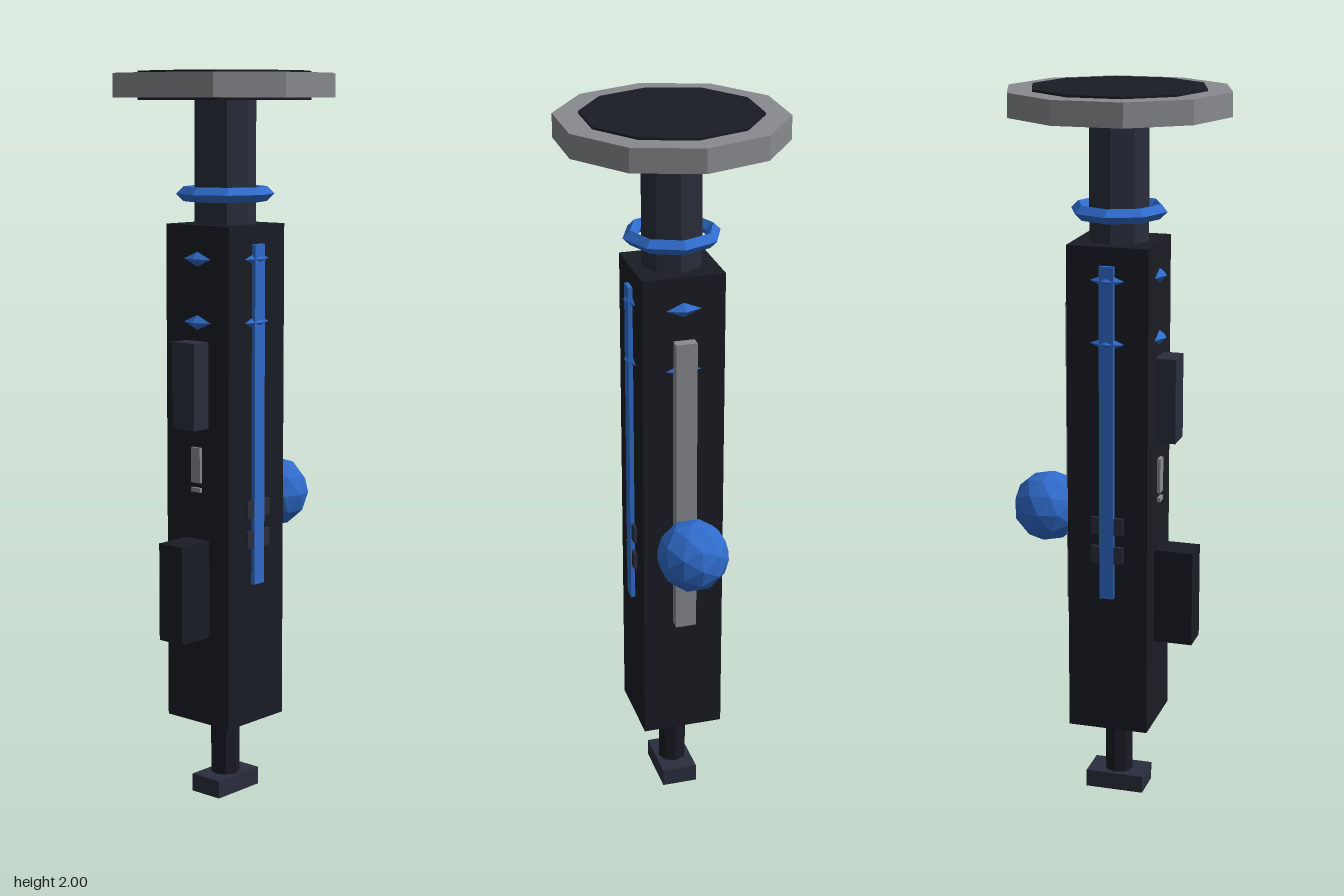
import * as THREE from 'three';

const mat = (color) => new THREE.MeshStandardMaterial({ color, flatShading: true });

export function createModel() {
  const group = new THREE.Group();
  const dark = mat(0x1a1c24), slate = mat(0x2a2d3c), grey = mat(0x888a8e), blue = mat(0x2f6bcb);

  const add = (name, geometry, material, x = 0, y = 0, z = 0) => {
    const mesh = new THREE.Mesh(geometry, material);
    mesh.name = name;
    mesh.position.set(x, y, z);
    group.add(mesh);
    return mesh;
  };
  // Box given by its lower and upper corners
  const box = (name, material, [x0, y0, z0], [x1, y1, z1]) =>
    add(name, new THREE.BoxGeometry(x1 - x0, y1 - y0, z1 - z0), material,
      (x0 + x1) / 2, (y0 + y1) / 2, (z0 + z1) / 2);
  // Upright prism between two heights
  const prism = (name, material, r, y0, y1, sides) =>
    add(name, new THREE.CylinderGeometry(r, r, y1 - y0, sides), material, 0, (y0 + y1) / 2, 0);

  // Foot, rod and square main body
  box('footPlate', slate, [-0.05, 0, -0.083], [0.05, 0.05, 0.083]);
  prism('footRod', dark, 0.04, 0.04, 0.24, 8);
  box('body', dark, [-0.113, 0.22, -0.113], [0.113, 1.595, 0.113]);

  // Neck and ten-sided head with a dark core showing on both faces
  prism('neck', slate, 0.083, 1.58, 1.94, 8);
  prism('headRim', grey, 0.305, 1.93, 1.994, 10);
  prism('headCore', dark, 0.238, 1.924, 2, 10);

  // Glowing rings; the lower two break through the body faces
  for (const y of [1.335, 1.505, 1.675]) {
    add('ring', new THREE.TorusGeometry(0.113, 0.02, 4, 8), blue, 0, y, 0).rotation.x = Math.PI / 2;
  }

  // Side light strips and the buttons beside them
  for (const s of [-1, 1]) {
    add('sideStrip', new THREE.BoxGeometry(0.025, 0.93, 0.04), blue, s * 0.1125, 1.08, 0);
    for (const y of [0.742, 0.825]) {
      add('sideButton', new THREE.BoxGeometry(0.024, 0.048, 0.09), slate, s * 0.11, y, 0);
    }
  }

  // Front details
  box('frontUpperBlock', slate, [-0.04, 1.05, 0.1], [0.04, 1.285, 0.17]);
  box('frontLowerBlock', dark, [-0.042, 0.47, 0.1], [0.042, 0.74, 0.222]);
  box('frontSwitch', grey, [-0.016, 0.898, 0.1], [0.016, 0.995, 0.122]);
  box('frontSwitchBar', grey, [-0.016, 0.872, 0.1], [0.016, 0.884, 0.122]);

  // Back rail with a faceted ball on a short stem
  box('backRail', grey, [-0.029, 0.57, -0.143], [0.029, 1.42, -0.1]);
  add('ballStem', new THREE.CylinderGeometry(0.035, 0.035, 0.1, 8), dark, 0, 0.83, -0.15).rotation.x = Math.PI / 2;
  add('ball', new THREE.IcosahedronGeometry(0.1, 1), blue, 0, 0.828, -0.205);

  return group;
}
